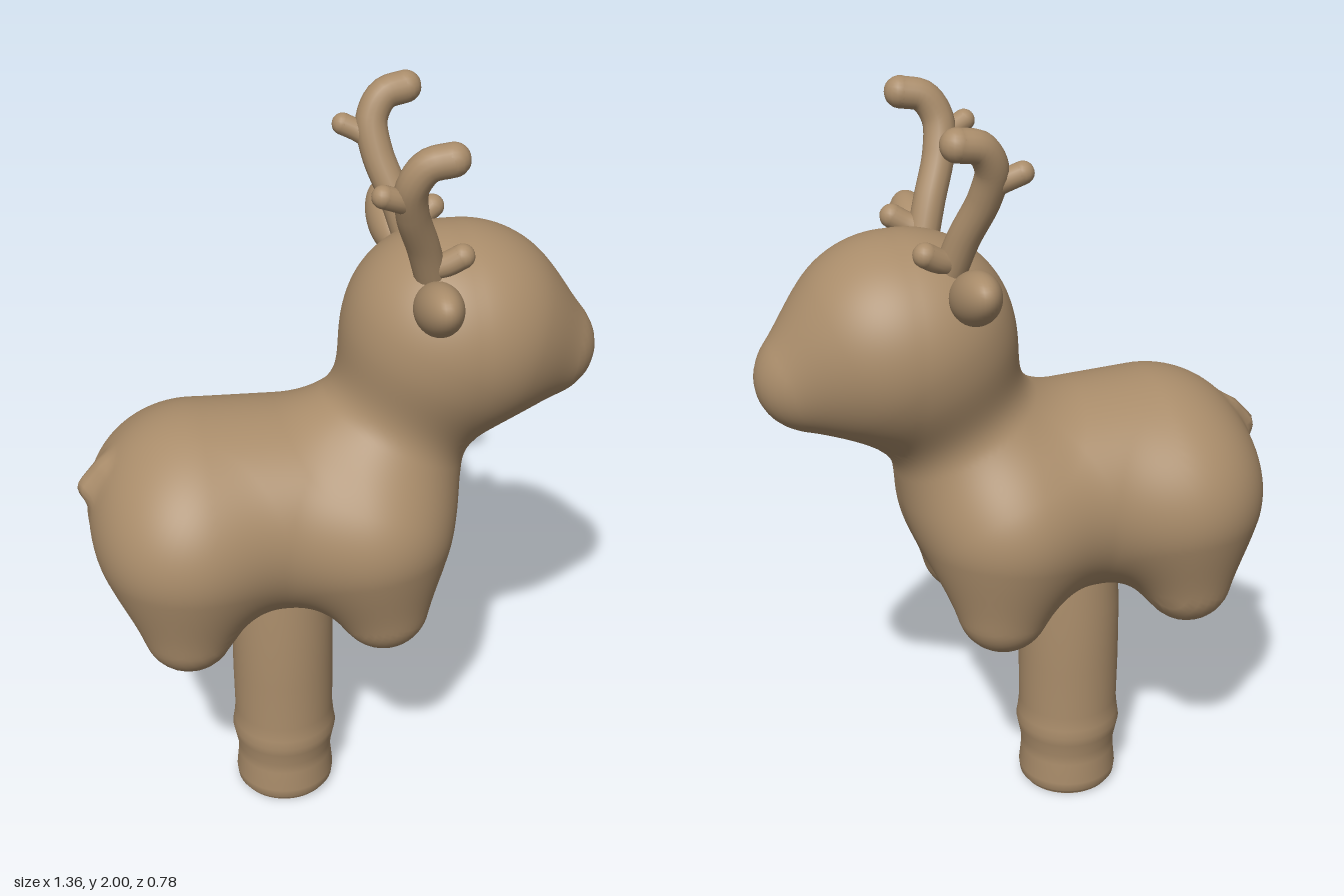
import * as THREE from 'three';

const V = (x, y, z) => new THREE.Vector3(x, y, z);

// Distance to a limb that tapers smoothly from radius ra at a to rb at b
function limb(p, a, ra, b, rb) {
  const dx = b[0] - a[0], dy = b[1] - a[1], dz = b[2] - a[2];
  const px = p.x - a[0], py = p.y - a[1], pz = p.z - a[2];
  const len = Math.hypot(dx, dy, dz), along = (px * dx + py * dy + pz * dz) / len;
  const off = Math.sqrt(Math.max(0, px * px + py * py + pz * pz - along * along));
  const slope = (ra - rb) / len;
  const t = Math.min(1, Math.max(0, (along - off * slope / Math.sqrt(1 - slope * slope)) / len));
  return Math.hypot(px - t * dx, py - t * dy, pz - t * dz) - ra - t * (rb - ra);
}

// Smooth union of two distances
function blend(a, b, k) {
  const h = Math.max(k - Math.abs(a - b), 0) / k;
  return Math.min(a, b) - h * h * k / 4;
}

// The soft animal form: barrel, thighs, shoulders, neck, head, muzzle, tail
function form(q) {
  const p = { x: q.x, y: q.y, z: Math.abs(q.z) };
  let d = limb({ x: p.x, y: p.y, z: p.z / 1.07 }, [-0.375, 0.94, 0], 0.283, [0.01, 0.927, 0], 0.279);
  d = blend(d, limb(p, [-0.42, 0.9, 0.14], 0.2, [-0.43, 0.685, 0.17], 0.123), 0.1);
  d = blend(d, limb(p, [0.065, 0.9, 0.145], 0.197, [0.09, 0.685, 0.17], 0.123), 0.1);
  d = blend(d, limb(p, [0.105, 1.05, 0], 0.195, [0.23, 1.3, 0], 0.185), 0.12);
  let head = limb(p, [0.28, 1.41, 0], 0.267, [0.31, 1.41, 0], 0.265);
  head = blend(head, limb(p, [0.36, 1.4, 0], 0.215, [0.543, 1.33, 0], 0.135), 0.1);
  d = blend(d, head, 0.1);
  return blend(d, limb(p, [-0.61, 1.08, 0], 0.025, [-0.652, 1.035, 0], 0.03), 0.05);
}

// Neck plane that divides the body from the head
const neck = (p) => 0.32 * p.x + 0.95 * p.y;

// Pushes the vertices of a sphere outward until they meet the form
function inflate(center, inside, wSeg, hSeg) {
  const geo = new THREE.SphereGeometry(1, wSeg, hSeg);
  const pos = geo.attributes.position, nor = geo.attributes.normal;
  const dir = V(0, 0, 0), p = V(0, 0, 0), n = V(0, 0, 0), e = 0.002;
  const at = (r) => inside(p.copy(center).addScaledVector(dir, r));
  for (let i = 0; i < pos.count; i++) {
    dir.fromBufferAttribute(pos, i).normalize();
    let lo = 0, hi = 0.02;
    while (at(hi) < 0 && hi < 1.5) { lo = hi; hi += 0.02; }
    for (let k = 0; k < 12; k++) {
      const mid = (lo + hi) / 2;
      if (at(mid) < 0) lo = mid; else hi = mid;
    }
    at(lo);
    pos.setXYZ(i, p.x, p.y, p.z);
    ['x', 'y', 'z'].forEach((axis) => {
      const a = p.clone(), b = p.clone();
      a[axis] += e;
      b[axis] -= e;
      n[axis] = form(a) - form(b);
    });
    n.normalize();
    nor.setXYZ(i, n.x, n.y, n.z);
  }
  return geo;
}

export function createModel() {
  const model = new THREE.Group();
  model.name = 'deerOnPost';
  const wood = new THREE.MeshStandardMaterial({ color: 0xa98c6a });
  wood.name = 'warmBrown';

  const add = (parent, name, geo) => {
    const mesh = new THREE.Mesh(geo, wood);
    mesh.name = name;
    parent.add(mesh);
    return mesh;
  };

  // Body with four leg stubs, and head with muzzle, overlapping in the neck
  add(model, 'body', inflate(V(-0.1, 1.0, 0), (p) => Math.max(form(p), neck(p) - 1.2), 144, 110));
  add(model, 'head', inflate(V(0.3, 1.4, 0), (p) => Math.max(form(p), 1.17 - neck(p)), 96, 80));

  // Post with a raised ring and a rounded foot
  const profile = [[0.125, 0.004], [0.134, 0.015], [0.137, 0.04], [0.131, 0.1], [0.132, 0.13], [0.14, 0.17],
    [0.145, 0.195], [0.141, 0.22], [0.137, 0.26], [0.139, 0.4], [0.138, 0.58], [0.125, 0.75]];
  const post = add(model, 'post', new THREE.LatheGeometry(profile.map(([r, y]) => new THREE.Vector2(r, y)), 48));
  const foot = add(model, 'postFoot', new THREE.CylinderGeometry(0.125, 0.123, 0.005, 48));
  post.position.x = -0.155;
  foot.position.set(-0.155, 0.0025, 0);

  for (const s of [1, -1]) {
    const side = s > 0 ? 'front' : 'back';

    // Leaf-shaped ear
    const ear = add(model, side + 'Ear', new THREE.SphereGeometry(1, 32, 24));
    ear.scale.set(0.057, 0.067, 0.122);
    ear.position.set(0.19, 1.595, 0.277 * s);
    ear.rotation.x = -0.4 * s;

    // Antler: curved beam and two short tines, each with a round tip
    const antler = new THREE.Group();
    antler.name = side + 'Antler';
    model.add(antler);
    const branch = (name, r, points) => {
      const path = points.map(([x, y, z]) => V(x, y, z * s));
      add(antler, name, new THREE.TubeGeometry(new THREE.CatmullRomCurve3(path), 32, r, 16));
      const tip = add(antler, name + 'Tip', new THREE.SphereGeometry(r, 16, 12));
      tip.position.copy(path[path.length - 1]);
    };
    branch('beam', 0.041, [[0.21, 1.6, 0.12], [0.18, 1.7, 0.15], [0.14, 1.81, 0.195],
      [0.132, 1.89, 0.225], [0.165, 1.945, 0.24], [0.222, 1.959, 0.247]]);
    branch('browTine', 0.031, [[0.19, 1.63, 0.125], [0.24, 1.648, 0.145], [0.277, 1.67, 0.155]]);
    branch('upperTine', 0.028, [[0.13, 1.84, 0.21], [0.095, 1.86, 0.226], [0.06, 1.876, 0.236]]);
  }
  return model;
}
